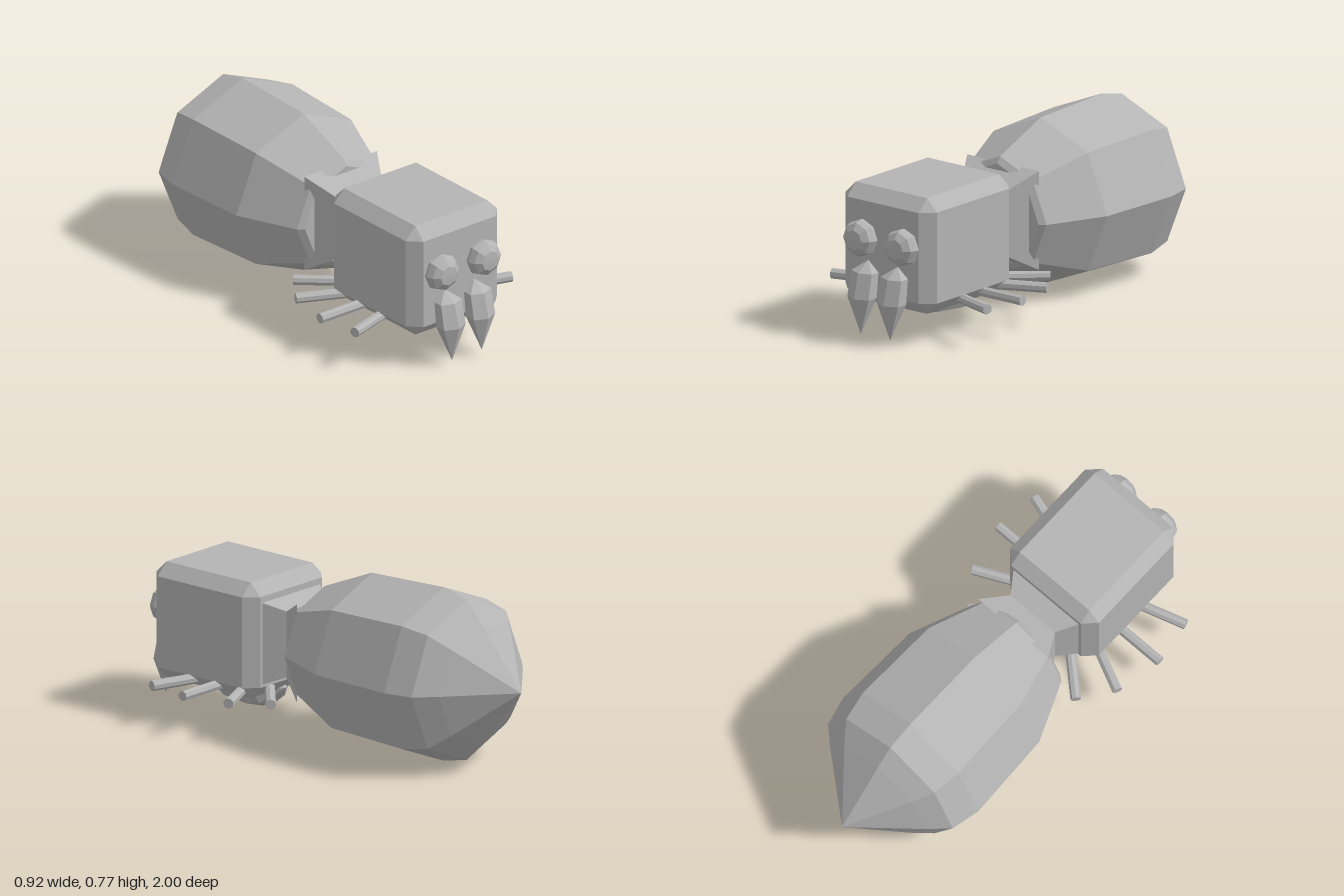
import * as THREE from 'three';
import { ConvexGeometry } from 'three/addons/geometries/ConvexGeometry.js';

// Skin rings [height, halfWidth, halfDepth, depthOffset] stacked along +y, with flat facets
function loft(rings, sides, turn = 0) {
  const pos = [];
  const at = ([h, w, d = w, off = 0], i) => {
    const t = (i / sides) * Math.PI * 2 + turn;
    return [Math.sin(t) * w, h, Math.cos(t) * d + off];
  };
  for (let r = 0; r < rings.length - 1; r++) {
    const lo = rings[r], hi = rings[r + 1];
    for (let i = 0; i < sides; i++) {
      const a = at(lo, i), b = at(lo, i + 1), c = at(hi, i + 1), d = at(hi, i);
      if (lo[1] > 0) pos.push(...a, ...b, ...c);
      if (hi[1] > 0) pos.push(...a, ...c, ...d);
    }
  }
  const g = new THREE.BufferGeometry();
  g.setAttribute('position', new THREE.Float32BufferAttribute(pos, 3));
  g.computeVertexNormals();
  return g;
}

// Same, stacked along +z
const loftZ = (rings, sides, turn) => loft(rings, sides, turn).rotateX(Math.PI / 2);

// Box with every edge chamfered
function chamferBox(w, h, d, c) {
  const pts = [];
  const x = w / 2, y = h / 2, z = d / 2;
  for (const sx of [-1, 1]) for (const sy of [-1, 1]) for (const sz of [-1, 1]) {
    pts.push(new THREE.Vector3(sx * x, sy * (y - c), sz * (z - c)));
    pts.push(new THREE.Vector3(sx * (x - c), sy * y, sz * (z - c)));
    pts.push(new THREE.Vector3(sx * (x - c), sy * (y - c), sz * z));
  }
  return new ConvexGeometry(pts);
}

export function createModel() {
  const model = new THREE.Group();
  model.name = 'insect';
  const grey = new THREE.MeshStandardMaterial({ color: 0xb4b4b4, flatShading: true });
  grey.name = 'grey shell';

  const add = (name, geometry, x = 0, y = 0, z = 0) => {
    const mesh = new THREE.Mesh(geometry, grey);
    mesh.name = name;
    mesh.position.set(x, y, z);
    model.add(mesh);
    return mesh;
  };

  // Pointed octagonal abdomen
  add('abdomen', loftZ([
    [-1, 0], [-0.77, 0.272], [-0.69, 0.357], [-0.56, 0.387],
    [-0.15, 0.371], [0.12, 0.258], [0.14, 0.23], [0.14, 0],
  ], 8), 0, 0.39, 0);

  // Square waist, pinched in the middle
  const q = Math.SQRT2;
  add('waist', loftZ([
    [0.1, 0.2 * q, 0.22 * q], [0.225, 0.127 * q, 0.147 * q], [0.33, 0.2 * q, 0.19 * q],
  ], 4, Math.PI / 4), 0, 0.395, 0);

  // Head and thorax block
  add('thorax', chamferBox(0.508, 0.515, 0.59, 0.055), 0, 0.4025, 0.605);

  // Rounded pad below the thorax
  add('bellyPad', loftZ([
    [0.34, 0], [0.42, 0.12, 0.092], [0.48, 0.14, 0.105],
    [0.62, 0.125, 0.09], [0.7, 0.085, 0.05], [0.73, 0],
  ], 8), 0, 0.15, 0);

  // Leg stubs: [start x, start z, end x, end z]
  const legs = [
    [0.1, 0.62, 0.433, 0.722],
    [0.1, 0.522, 0.462, 0.522],
    [0.1, 0.452, 0.415, 0.302],
    [0.1, 0.345, 0.308, 0.155],
  ];
  for (const side of [-1, 1]) {
    const s = side > 0 ? 'left' : 'right';
    legs.forEach(([x0, z0, x1, z1], i) => {
      const dir = new THREE.Vector3(side * (x1 - x0), 0, z1 - z0);
      const leg = add(`${s}Leg${i + 1}`, new THREE.CylinderGeometry(0.023, 0.023, dir.length(), 8),
        side * (x0 + x1) / 2, 0.181, (z0 + z1) / 2);
      leg.quaternion.setFromUnitVectors(new THREE.Vector3(0, 1, 0), dir.normalize());
    });

    // Domed eye
    add(`${s}Eye`, loftZ([
      [0.88, 0.076], [0.915, 0.083], [0.945, 0.074], [0.966, 0.045], [0.969, 0],
    ], 8), side * 0.115 + 0.004, 0.441, 0);

    // Curved, pointed mandible
    add(`${s}Mandible`, loft([
      [0.027, 0, 0, 0.95], [0.19, 0.068, 0.055, 0.942],
      [0.3, 0.066, 0.045, 0.923], [0.345, 0, 0, 0.9],
    ], 6, Math.PI / 3), side * 0.082, 0, 0);
  }
  return model;
}
